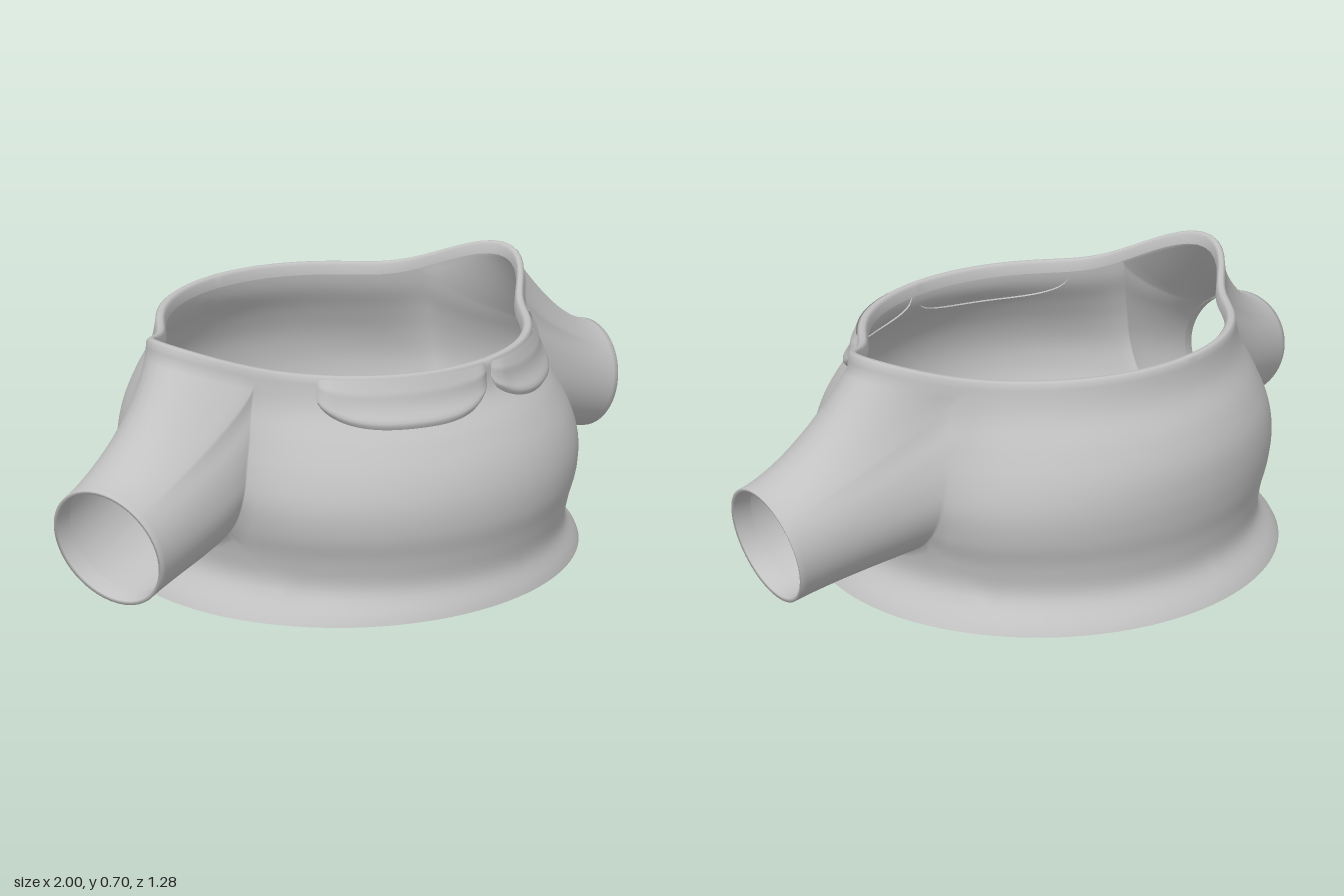
import * as THREE from 'three';
import { mergeGeometries, mergeVertices } from 'three/addons/utils/BufferGeometryUtils.js';

// Radius profiles from hem to neckline, evenly spaced in height
const profile = (...r) => new THREE.SplineCurve(r.map((v, i) => new THREE.Vector2(i, v)));
const FRONT = profile(0.64, 0.613, 0.622, 0.638, 0.637, 0.615, 0.57, 0.51, 0.50);
const BACK = profile(0.64, 0.585, 0.585, 0.60, 0.607, 0.60, 0.57, 0.525, 0.51);
const SIDE = profile(0.66, 0.60, 0.605, 0.63, 0.635, 0.61, 0.57, 0.53, 0.51);

const COLS = 64, ROWS = 40;                    // half of the body, front to back
const HOLE = { i0: 25, i1: 39, j0: 9, j1: 38 }; // armhole in grid cells
const clamp = THREE.MathUtils.clamp;

// Point on the body: theta runs from front (0) to back (PI), v from hem to neckline
function bodyPoint(theta, v) {
  const a = theta - Math.PI / 2;
  const c = Math.cos(theta), s = Math.sin(theta);
  const shoulder = 0.17 * Math.exp(-((a / 0.33) ** 2)) * THREE.MathUtils.smoothstep(v, 0.35, 0.97);
  const rx = SIDE.getPoint(v).y + shoulder;
  const rz = (c > 0 ? FRONT : BACK).getPoint(v).y + shoulder;
  const rimY = 0.6275 - 0.0175 * c + 0.072 * Math.exp(-((a / 0.3) ** 2));
  return new THREE.Vector3(rx * s, v * rimY, rz * c);
}

// Armhole coordinates: s points to the front, t points up, the hole spans -1..1
function holeCoords(i, j) {
  const s = (COLS / 2 - i) / ((HOLE.i1 - HOLE.i0) / 2);
  const t = (j - (HOLE.j0 + HOLE.j1) / 2) / ((HOLE.j1 - HOLE.j0) / 2);
  return [s, t];
}

// Grid point, bent so that the lower half of the armhole is round
function gridPoint(i, j) {
  let [s, t] = holeCoords(i, j);
  if (t < 0) {
    const w = 0.5 * clamp((1.6 - Math.max(Math.abs(s), -t)) / 0.6, 0, 1);
    const s2 = Math.min(1, s * s), t2 = Math.min(1, t * t);
    s *= Math.sqrt(1 - w * t2);
    t *= Math.sqrt(1 - w * s2);
  }
  const ci = COLS / 2 - s * (HOLE.i1 - HOLE.i0) / 2;
  const cj = (HOLE.j0 + HOLE.j1) / 2 + t * (HOLE.j1 - HOLE.j0) / 2;
  return bodyPoint(Math.PI * ci / COLS, clamp(cj / ROWS, 0, 1));
}

// Surface through rows of points, with an optional test for cells to leave out
function gridGeometry(rows, skip = () => false) {
  const n = rows[0].length, index = [];
  for (let j = 0; j < rows.length - 1; j++) {
    for (let i = 0; i < n - 1; i++) {
      if (skip(i, j)) continue;
      const a = j * n + i, b = a + 1, c = a + n, d = c + 1;
      index.push(a, b, d, a, d, c);
    }
  }
  const g = new THREE.BufferGeometry().setFromPoints(rows.flat());
  g.setIndex(index);
  return g;
}

// Copy on the other side of the body
function mirrored(g) {
  const m = g.clone().scale(-1, 1, 1);
  const idx = m.index.array;
  for (let k = 0; k < idx.length; k += 3) [idx[k], idx[k + 1]] = [idx[k + 1], idx[k]];
  return m;
}

// Half of the body with the rolled neckline
function halfBody() {
  const rows = [];
  for (let j = 0; j <= ROWS; j++) {
    rows.push(Array.from({ length: COLS + 1 }, (_, i) => gridPoint(i, j)));
  }
  for (const [inset, lift] of [[0.007, 0.005], [0.018, 0.005], [0.026, -0.003], [0.028, -0.03]]) {
    rows.push(rows[ROWS].map((p) => {
      const k = 1 - inset / Math.hypot(p.x, p.z);
      return new THREE.Vector3(p.x * k, p.y + lift, p.z * k);
    }));
  }
  return gridGeometry(rows, (i, j) => i >= HOLE.i0 && i < HOLE.i1 && j >= HOLE.j0 && j < HOLE.j1);
}

// Sleeve swept from the armhole to a tilted round cuff
function sleeve() {
  const { i0, i1, j0, j1 } = HOLE, loop = [];
  for (let i = i0; i < i1; i++) loop.push([i, j0]);
  for (let j = j0; j < j1; j++) loop.push([i1, j]);
  for (let i = i1; i > i0; i--) loop.push([i, j1]);
  for (let j = j1; j > j0; j--) loop.push([i0, j]);
  loop.push([i0, j0]);

  const axis = new THREE.Vector3(1, -0.2, 0.2).normalize();
  const cuff = (phi, k, back) => {
    const y = 0.157 * k * Math.sin(phi), z = 0.157 * k * Math.cos(phi);
    return new THREE.Vector3(0.957 + 0.2 * y - 0.2 * z, 0.262 + y, 0.083 + z).addScaledVector(axis, -back);
  };
  const STEPS = 22;
  const rows = Array.from({ length: STEPS + 3 }, () => []);
  for (const [i, j] of loop) {
    const [s, t] = holeCoords(i, j);
    const phi = Math.atan2(t, s);
    const start = gridPoint(i, j), end = cuff(phi, 1, 0);
    const c1 = start.clone().lerp(end, 0.36);
    c1.x = start.x + 0.065;
    const c2 = end.clone().addScaledVector(axis, -0.13);
    const curve = new THREE.CubicBezierCurve3(start, c1, c2, end);
    for (let k = 0; k <= STEPS; k++) rows[k].push(curve.getPoint(k / STEPS));
    // Turned-in cuff edge
    rows[STEPS + 1].push(cuff(phi, 0.94, 0.002));
    rows[STEPS + 2].push(cuff(phi, 0.93, 0.05));
  }
  return gridGeometry(rows);
}

// Rounded collar leaf lying on the front of the neckline
function collarLeaf() {
  const rows = [], NU = 48, NW = 16;
  for (let k = 0; k <= NW; k++) {
    const w = 1 - k / NW, row = [];               // w: 1 at the lower edge
    for (let i = 0; i <= NU; i++) {
      const u = i / NU;
      const depth = 0.05 + 0.15 * Math.sqrt(1 - Math.abs(2 * u - 1) ** 3);
      const theta = 0.012 + 0.95 * u;
      const p = bodyPoint(theta, 0.995 - depth * w);
      const edge = Math.min(1, 14 * Math.min(u, 1 - u), 7 * (1 - w));
      const off = -0.004 + 0.02 * Math.sqrt(edge) * (0.4 + 0.6 * Math.min(1, 3 * w));
      row.push(p.add(new THREE.Vector3(Math.sin(theta) * off, off * 0.3, Math.cos(theta) * off)));
    }
    rows.push(row);
  }
  return gridGeometry(rows);
}

export function createModel() {
  const group = new THREE.Group();
  group.name = 'garment';
  const cloth = new THREE.MeshStandardMaterial({ color: 0xc2c2c2, side: THREE.DoubleSide });
  cloth.name = 'light grey cloth';

  const add = (name, geometry) => {
    geometry.computeVertexNormals();
    const mesh = new THREE.Mesh(geometry, cloth);
    mesh.name = name;
    group.add(mesh);
  };

  // Body and sleeves share welded seams so the shading stays smooth
  const half = mergeGeometries([halfBody(), sleeve()]);
  add('bodyWithSleeves', mergeVertices(mergeGeometries([half, mirrored(half)]), 1e-4));

  const leaf = collarLeaf();
  add('leftCollarLeaf', leaf);
  add('rightCollarLeaf', mirrored(leaf));
  return group;
}
